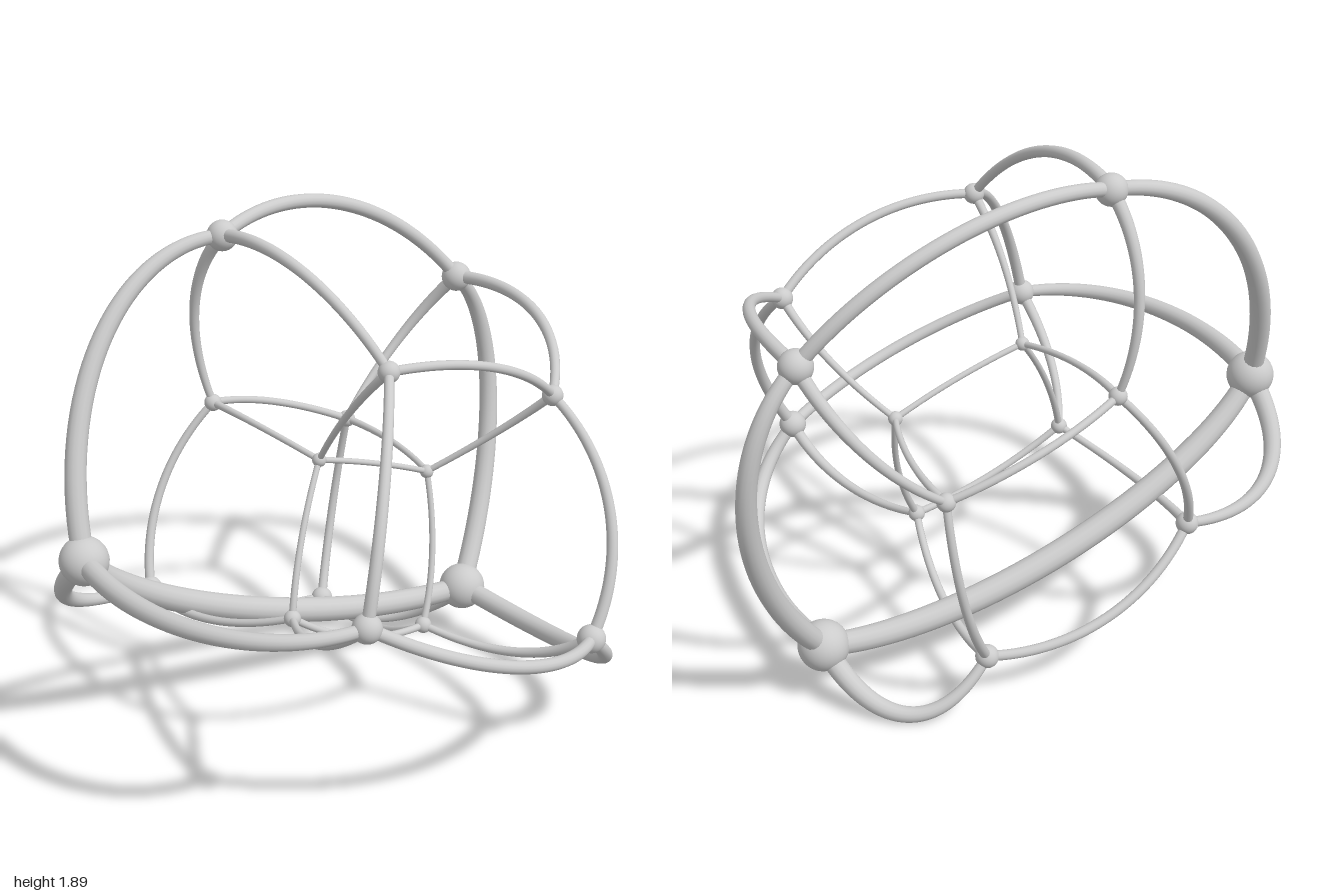
import * as THREE from 'three';

// Four orthogonal edge directions of a rotated 4D hypercube
const AXES = [
  [0.826, -0.344, -0.445, 0.036],
  [0.165, 0.826, -0.363, -0.399],
  [0.432, 0.002, 0.747, -0.506],
  [-0.328, -0.447, -0.323, -0.768],
].map((a) => new THREE.Vector4(...a).normalize());

const CENTRE = new THREE.Vector3(0.089, 0.902, -0.087);
const SIZE = 1.228;
const EYE = 1.5; // distance of the 4D viewpoint along w
const NODE_RADIUS = 0.048;
const STRUT_RADIUS = 0.021;

// Corner of the hypercube on the unit 4D sphere; each bit picks a side
function corner(bits) {
  const v = new THREE.Vector4(0, 0, 0, 0);
  AXES.forEach((a, i) => v.addScaledVector(a, bits & (1 << i) ? 0.5 : -0.5));
  return v.normalize();
}

// Perspective from 4D to 3D
const magnification = (v) => SIZE / (EYE - v.w);
const project = (v, target = new THREE.Vector3()) =>
  target.set(v.x, v.y, v.z).multiplyScalar(magnification(v)).add(CENTRE);

// Great-circle edge between two corners, projected to 3D
class EdgeCurve extends THREE.Curve {
  constructor(a, b) {
    super();
    this.a = a;
    this.b = b;
    this.angle = a.angleTo ? a.angleTo(b) : Math.acos(a.dot(b));
  }
  at4D(t) {
    const s = Math.sin(this.angle);
    return new THREE.Vector4(0, 0, 0, 0)
      .addScaledVector(this.a, Math.sin((1 - t) * this.angle) / s)
      .addScaledVector(this.b, Math.sin(t * this.angle) / s);
  }
  getPoint(t, target) {
    return project(this.at4D(t), target);
  }
  getUtoTmapping(u) {
    return u;
  }
}

// Tube whose thickness follows the magnification along the edge
function strutGeometry(curve, segments = 40, sides = 14) {
  const geometry = new THREE.TubeGeometry(curve, segments, 1, sides, false);
  const pos = geometry.attributes.position;
  const p = new THREE.Vector3();
  for (let i = 0; i <= segments; i++) {
    const centre = curve.getPoint(i / segments);
    const radius = STRUT_RADIUS * magnification(curve.at4D(i / segments));
    for (let j = 0; j <= sides; j++) {
      const k = i * (sides + 1) + j;
      p.fromBufferAttribute(pos, k).sub(centre).multiplyScalar(radius).add(centre);
      pos.setXYZ(k, p.x, p.y, p.z);
    }
  }
  return geometry;
}

export function createModel() {
  const model = new THREE.Group();
  model.name = 'curvedHypercube';
  const nodes = new THREE.Group();
  nodes.name = 'nodes';
  const struts = new THREE.Group();
  struts.name = 'struts';
  model.add(nodes, struts);

  const material = new THREE.MeshStandardMaterial({ color: 0xcccccc });
  const ball = new THREE.SphereGeometry(1, 28, 18);

  for (let n = 0; n < 16; n++) {
    // Ball at each corner
    const v = corner(n);
    const node = new THREE.Mesh(ball, material);
    node.name = 'node';
    project(v, node.position);
    node.scale.setScalar(NODE_RADIUS * magnification(v));
    nodes.add(node);

    // Curved strut to each neighbour on the higher side
    for (let axis = 0; axis < 4; axis++) {
      if (n & (1 << axis)) continue;
      const curve = new EdgeCurve(v, corner(n | (1 << axis)));
      const strut = new THREE.Mesh(strutGeometry(curve), material);
      strut.name = 'strut';
      struts.add(strut);
    }
  }
  return model;
}
